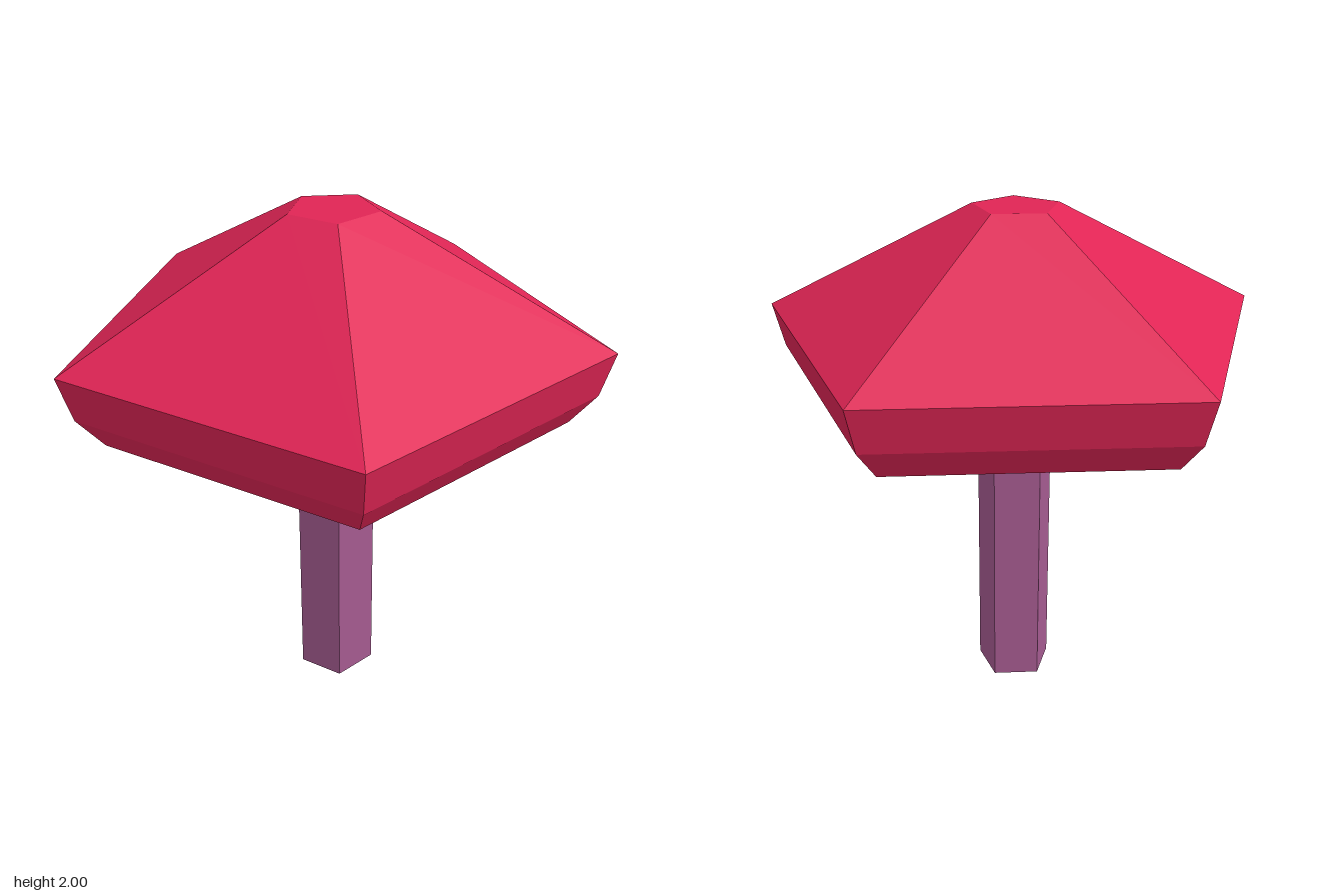
import * as THREE from 'three';

// Five-sided solid swept from [radius, height] pairs listed bottom to top
function pentagonSolid(name, profile, material) {
  const points = profile.map(([r, y]) => new THREE.Vector2(r, y));
  const lathe = new THREE.LatheGeometry(points, 5, Math.PI); // one corner points to the back
  const geometry = lathe.toNonIndexed();
  geometry.computeVertexNormals(); // hard facets
  const mesh = new THREE.Mesh(geometry, material);
  mesh.name = name;
  return mesh;
}

export function createModel() {
  const capRed = new THREE.MeshStandardMaterial({ name: 'crimson cap', color: 0xe02555 });
  const stemPurple = new THREE.MeshStandardMaterial({ name: 'mauve stem', color: 0xa55b90 });

  const model = new THREE.Group();
  model.name = 'mushroom';

  // Stem, reaching the underside of the cap
  const stem = pentagonSolid('stem', [[0, 0], [0.156, 0], [0.156, 1.115]], stemPurple);

  // Cap: shallow underside, two-step rim, sloping roof, small flat top
  const cap = pentagonSolid('cap', [
    [0, 1.115], [0.156, 1.115], [0.881, 1.25], [0.977, 1.37],
    [1.025, 1.543], [0.172, 2], [0, 2],
  ], capRed);

  // The pentagon's axis sits forward so that its bounds are centred
  for (const part of [stem, cap]) {
    part.position.z = 0.098;
    model.add(part);
  }
  return model;
}
